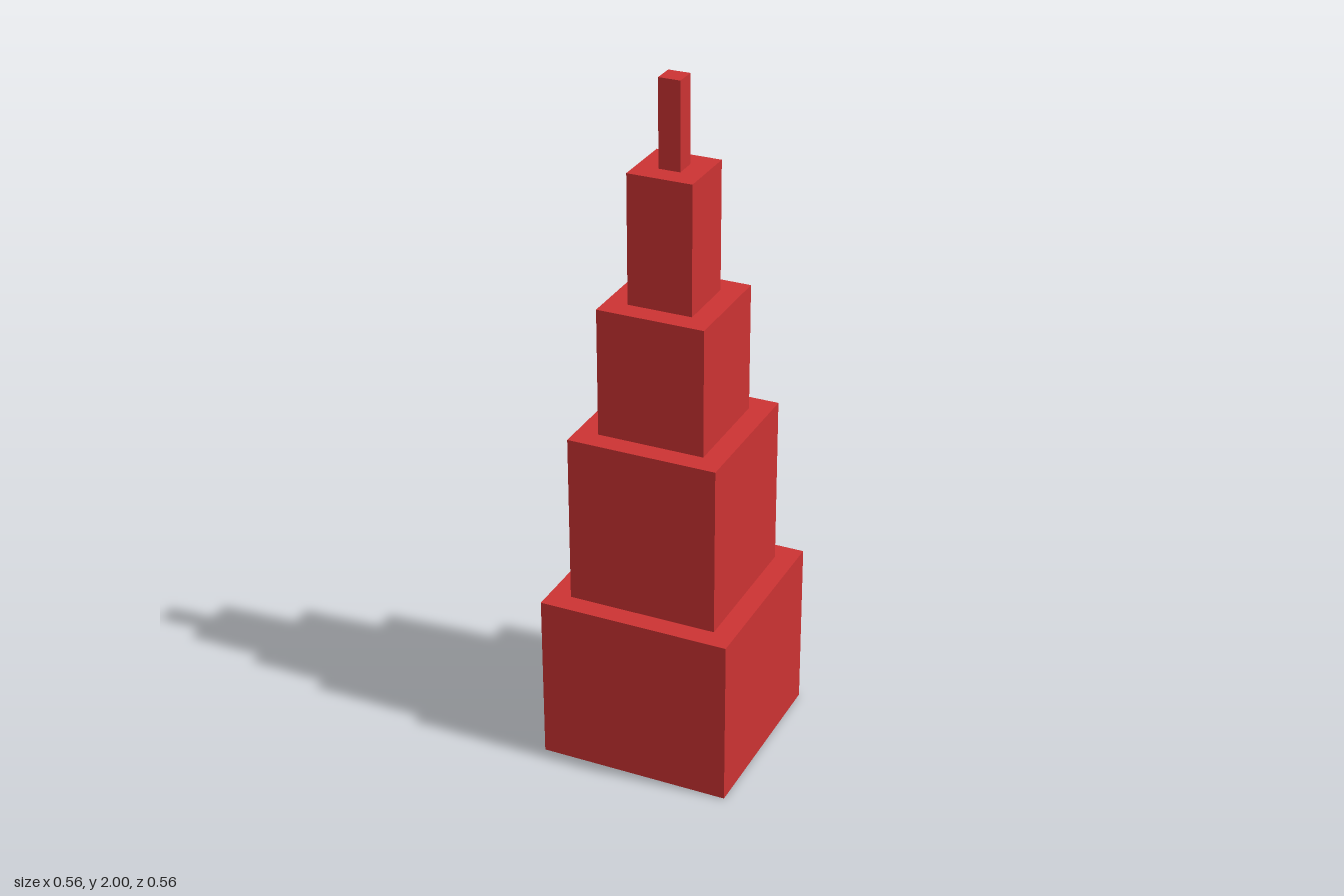
import * as THREE from 'three';

// Square tiers from the ground up: name, width, bottom, top
const TIERS = [
  ['baseTier', 0.5625, 0, 0.5],
  ['secondTier', 0.4375, 0.5, 1],
  ['thirdTier', 0.3125, 1, 1.375],
  ['fourthTier', 0.1875, 1.375, 1.75],
  ['spire', 0.0625, 1.75, 2],
];

export function createModel() {
  const model = new THREE.Group();
  model.name = 'steppedTower';
  const red = new THREE.MeshStandardMaterial({ color: 0xcc3333 });
  red.name = 'red';

  // Each tier stands on the one below
  for (const [name, width, bottom, top] of TIERS) {
    const tier = new THREE.Mesh(new THREE.BoxGeometry(width, top - bottom, width), red);
    tier.name = name;
    tier.position.y = (bottom + top) / 2;
    model.add(tier);
  }
  return model;
}
